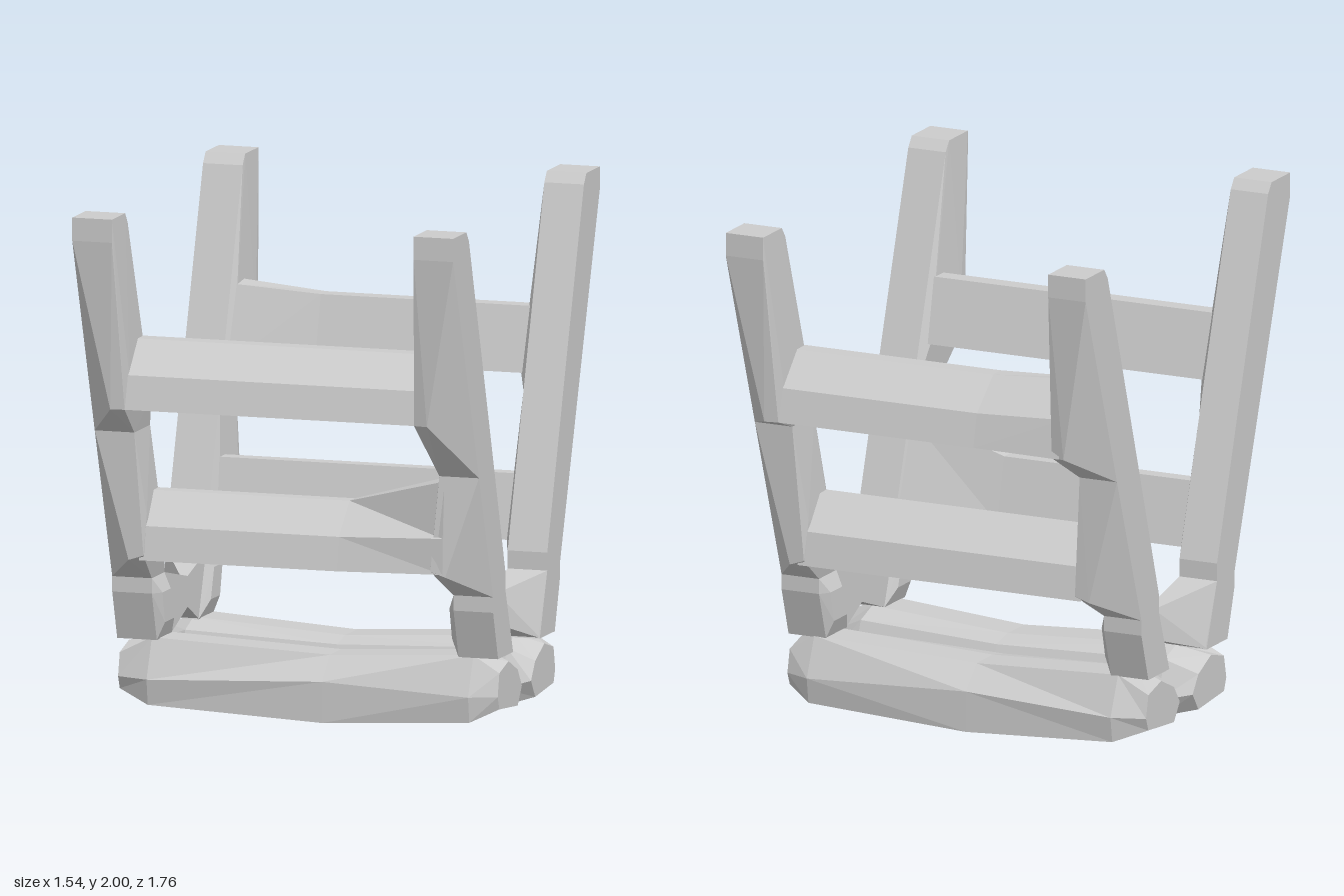
import * as THREE from 'three';
import { ConvexGeometry } from 'three/addons/geometries/ConvexGeometry.js';

const material = new THREE.MeshStandardMaterial({ color: 0xcccccc, flatShading: true });

function addMesh(group, geometry, name) {
  const mesh = new THREE.Mesh(geometry, material);
  mesh.name = name;
  group.add(mesh);
}

// Convex block from corner points [x, y, z], mirrored by the signs sx and sz
function block(points, sx, sz) {
  return new ConvexGeometry(points.map(([x, y, z]) => new THREE.Vector3(x * sx, y, z * sz)));
}

// Solid through closed cross-sections; each section is [x, [[z, y], ...]]
function loft(sections) {
  const rings = sections.map(([x, ring]) => ring.map(([z, y]) => new THREE.Vector3(x, y, z)));
  const n = rings[0].length;
  const tris = [];
  for (let s = 0; s < rings.length - 1; s++) {
    for (let i = 0; i < n; i++) {
      const j = (i + 1) % n;
      const a = rings[s][i], b = rings[s][j], c = rings[s + 1][j], d = rings[s + 1][i];
      tris.push([a, b, c], [a, c, d]);
    }
  }
  const first = rings[0], last = rings[rings.length - 1];
  for (let i = 1; i < n - 1; i++) {
    tris.push([first[0], first[i + 1], first[i]], [last[0], last[i], last[i + 1]]);
  }
  // Turn the faces outward whichever way the section runs
  const volume = tris.reduce((v, [a, b, c]) => v + a.dot(b.clone().cross(c)), 0);
  if (volume < 0) tris.forEach((t) => t.reverse());
  const geometry = new THREE.BufferGeometry().setFromPoints(tris.flat());
  geometry.computeVertexNormals();
  return geometry;
}

// Repeats [z, y] outline points at both side faces of a post
const bothSides = (outline) => outline.flatMap(([z, y]) => [[0.61, y, z], [0.77, y, z]]);
const innerZ = (y) => 0.25 + (y - 0.6) * 0.321;

// Leaning post in three stacked pieces, with a tapered tie towards the middle
function createPost(name, sx, sz, jointY, jointZ) {
  const post = new THREE.Group();
  post.name = name;
  const joint = [[jointZ, jointY], [innerZ(jointY), jointY]];

  addMesh(post, block([
    ...bothSides([[0.72, 2], [0.88, 2], [0.88, 1.91], [0.69, 1.96], ...joint]),
    [0.585, 1.25, 0.8], [0.64, 1.25, 0.81], [0.58, 1.38, 0.76], [0.58, 1.25, 0.5],
  ], sx, sz), 'upperPost');

  addMesh(post, block([
    ...bothSides([...joint, [0.4, 0.53], [0.25, 0.53], [0.25, 0.6]]),
    [0.58, 0.65, 0.59], [0.64, 0.63, 0.59], [0.58, 0.8, 0.55], [0.58, 0.65, 0.33],
  ], sx, sz), 'middlePost');

  addMesh(post, block([
    ...bothSides([[0.25, 0.53], [0.4, 0.53], [0.4, 0.47], [0.34, 0.28], [0.16, 0.28]]),
    [0.58, 0.47, 0.36], [0.58, 0.35, 0.33], [0.58, 0.47, 0.26], [0.58, 0.35, 0.22],
  ], sx, sz), 'lowerPost');

  const tipZ = -0.03 * sz;
  addMesh(post, block([
    ...bothSides([[0.25, 0.53], [0.17, 0.28]]),
    [0.61, 0.47, tipZ], [0.64, 0.47, tipZ], [0.61, 0.35, tipZ], [0.64, 0.35, tipZ],
  ], sx, sz), 'crossTie');
  return post;
}

// Plank sections, [z, y], for the front side
const upperSection = [[0.49, 1.25], [0.56, 1.5], [0.63, 1.5], [0.77, 1.38], [0.8, 1.25]];
const lowerSection = [[0.31, 0.63], [0.37, 0.88], [0.43, 0.88], [0.56, 0.76], [0.585, 0.63]];
const upperFlare = [[0.46, 1.2], [0.57, 1.52], [0.65, 1.53], [0.78, 1.4], [0.81, 1.25]];
const lowerFlare = [[0.27, 0.64], [0.39, 1], [0.57, 1], [0.59, 0.78], [0.59, 0.64]];
const flip = (ring) => ring.map(([z, y]) => [-z, y]);

// Base beam: faceted log with a sagging top and rounded ends
function createBase(back) {
  const end = [[0.31, 0.08], [0.33, 0.13], [0.31, 0.22], [0.2, 0.25], [0.09, 0.2], [0.04, 0.13], [0.09, 0.06]];
  const shoulder = [[0.36, 0.03], [0.375, 0.13], [0.31, 0.285], [0.16, 0.285], [0.06, 0.25], [0, 0.1], [0.04, 0.03]];
  const middle = [[0.375, 0], [0.375, 0.16], [0.28, 0.25], [0.14, 0.25], [0.04, 0.23], [-0.02, 0.08], [0.02, 0]];
  const fit = (ring) => (back ? ring.map(([z, y]) => [-z - 0.03, y]) : ring);
  return loft([
    [-0.77, fit(end)], [-0.64, fit(shoulder)], [back ? -0.02 : 0.07, fit(middle)],
    [0.66, fit(shoulder)], [0.765, fit(end)],
  ]);
}

export function createModel() {
  const model = new THREE.Group();
  model.name = 'hayRack';

  // Four leaning posts
  model.add(createPost('frontLeftPost', 1, 1, 1.02, 0.57));
  model.add(createPost('frontRightPost', -1, 1, 1.13, 0.61));
  model.add(createPost('backLeftPost', 1, -1, 1.19, 0.63));
  model.add(createPost('backRightPost', -1, -1, 1.13, 0.61));

  // Horizontal planks, two of them flaring out at one end
  addMesh(model, loft([[-0.6, upperSection], [0.6, upperSection]]), 'frontUpperPlank');
  addMesh(model, loft([[-0.6, lowerSection], [0.2, lowerSection], [0.63, lowerFlare]]), 'frontLowerPlank');
  addMesh(model, loft([[-0.62, flip(upperFlare)], [-0.25, flip(upperSection)], [0.6, flip(upperSection)]]), 'backUpperPlank');
  addMesh(model, loft([[-0.6, flip(lowerSection)], [0.61, flip(lowerSection)]]), 'backLowerPlank');

  // Base beams
  addMesh(model, createBase(false), 'frontBaseBeam');
  addMesh(model, createBase(true), 'backBaseBeam');
  return model;
}
